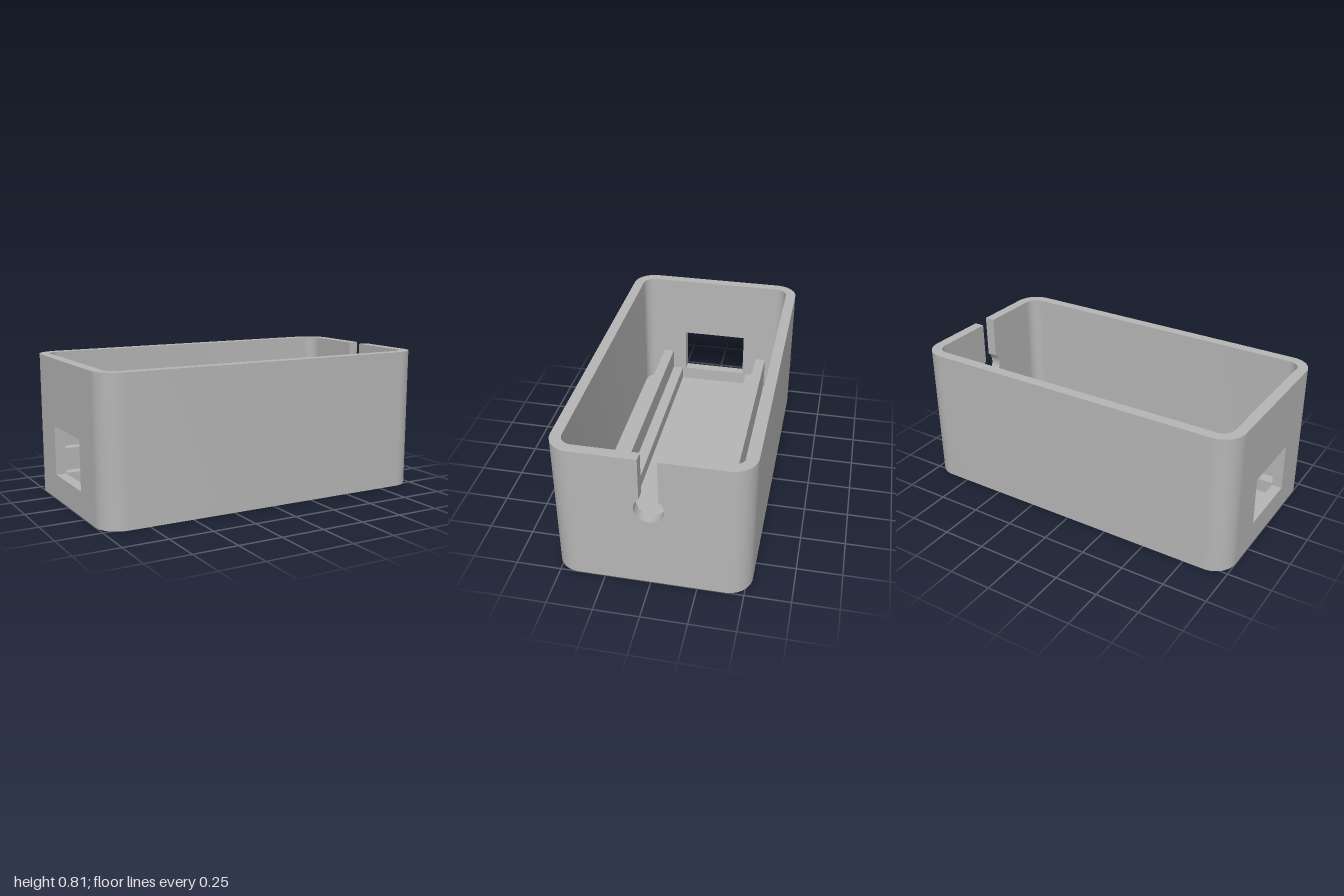
import * as THREE from 'three';
import { toCreasedNormals } from 'three/addons/utils/BufferGeometryUtils.js';

const HX = 1, HZ = 0.53, H = 0.81; // half length, half width, height
const T = 0.06, R = 0.13;          // wall thickness, corner radius
const CX = HX - R, CZ = HZ - R;    // corner centres

export function createModel() {
  const grey = new THREE.MeshStandardMaterial({ color: 0xb6b6b6 });
  grey.name = 'grey plastic';
  const box = new THREE.Group();
  box.name = 'enclosure';

  const extrude = (shape, depth) => toCreasedNormals(
    new THREE.ExtrudeGeometry(shape, { depth, bevelEnabled: false, curveSegments: 16 }), 0.5);
  const add = (name, geometry) => {
    const mesh = new THREE.Mesh(geometry, grey);
    mesh.name = name;
    box.add(mesh);
    return mesh;
  };

  // Floor plate with rounded corners
  const plan = new THREE.Shape();
  plan.absarc(CX, CZ, R, 0, Math.PI / 2);
  plan.absarc(-CX, CZ, R, Math.PI / 2, Math.PI);
  plan.absarc(-CX, -CZ, R, Math.PI, Math.PI * 1.5);
  plan.absarc(CX, -CZ, R, Math.PI * 1.5, Math.PI * 2);
  add('floor', extrude(plan, T).rotateX(-Math.PI / 2));

  // Long walls, each including two rounded corners
  const side = new THREE.Shape();
  side.absarc(CX, CZ, R, 0, Math.PI / 2);
  side.absarc(-CX, CZ, R, Math.PI / 2, Math.PI);
  side.absarc(-CX, CZ, R - T, Math.PI, Math.PI / 2, true);
  side.absarc(CX, CZ, R - T, Math.PI / 2, 0, true);
  for (const [name, turn] of [['backWall', 0], ['frontWall', Math.PI]]) {
    add(name, extrude(side, H - T).rotateX(-Math.PI / 2).rotateY(turn)).position.y = T;
  }

  // End wall with the keyhole slot open to the rim
  const slot = 0.05, holeR = 0.08, holeY = 0.5;
  const a = Math.acos(slot / holeR);
  const keyWall = new THREE.Shape();
  keyWall.moveTo(-CZ, T);
  keyWall.lineTo(CZ, T);
  keyWall.lineTo(CZ, H);
  keyWall.lineTo(slot, H);
  keyWall.absarc(0, holeY, holeR, a, -Math.PI - a, true);
  keyWall.lineTo(-slot, H);
  keyWall.lineTo(-CZ, H);
  keyWall.closePath();
  add('keyholeWall', extrude(keyWall, T).rotateY(Math.PI / 2)).position.x = HX - T;

  // End wall with the rectangular port
  const rect = (path, w, y0, y1) => {
    path.moveTo(-w, y0);
    path.lineTo(w, y0);
    path.lineTo(w, y1);
    path.lineTo(-w, y1);
    path.closePath();
    return path;
  };
  const portWall = rect(new THREE.Shape(), CZ, T, H);
  portWall.holes.push(rect(new THREE.Path(), 0.2, 0.143, 0.425));
  add('portWall', extrude(portWall, T).rotateY(Math.PI / 2)).position.x = -HX;

  // Stepped rails: low ledge inside, taller ridge outside
  const x0 = -HX + T, x1 = 0.435;
  for (const [name, s] of [['frontRail', 1], ['backRail', -1]]) {
    const step = new THREE.Shape([
      [0.223, T], [0.352, T], [0.352, 0.27], [0.288, 0.27], [0.288, 0.14], [0.223, 0.14],
    ].map(([z, y]) => new THREE.Vector2(-s * z, y)));
    add(name, extrude(step, x1 - x0).rotateY(Math.PI / 2)).position.x = x0;
  }

  return box;
}
